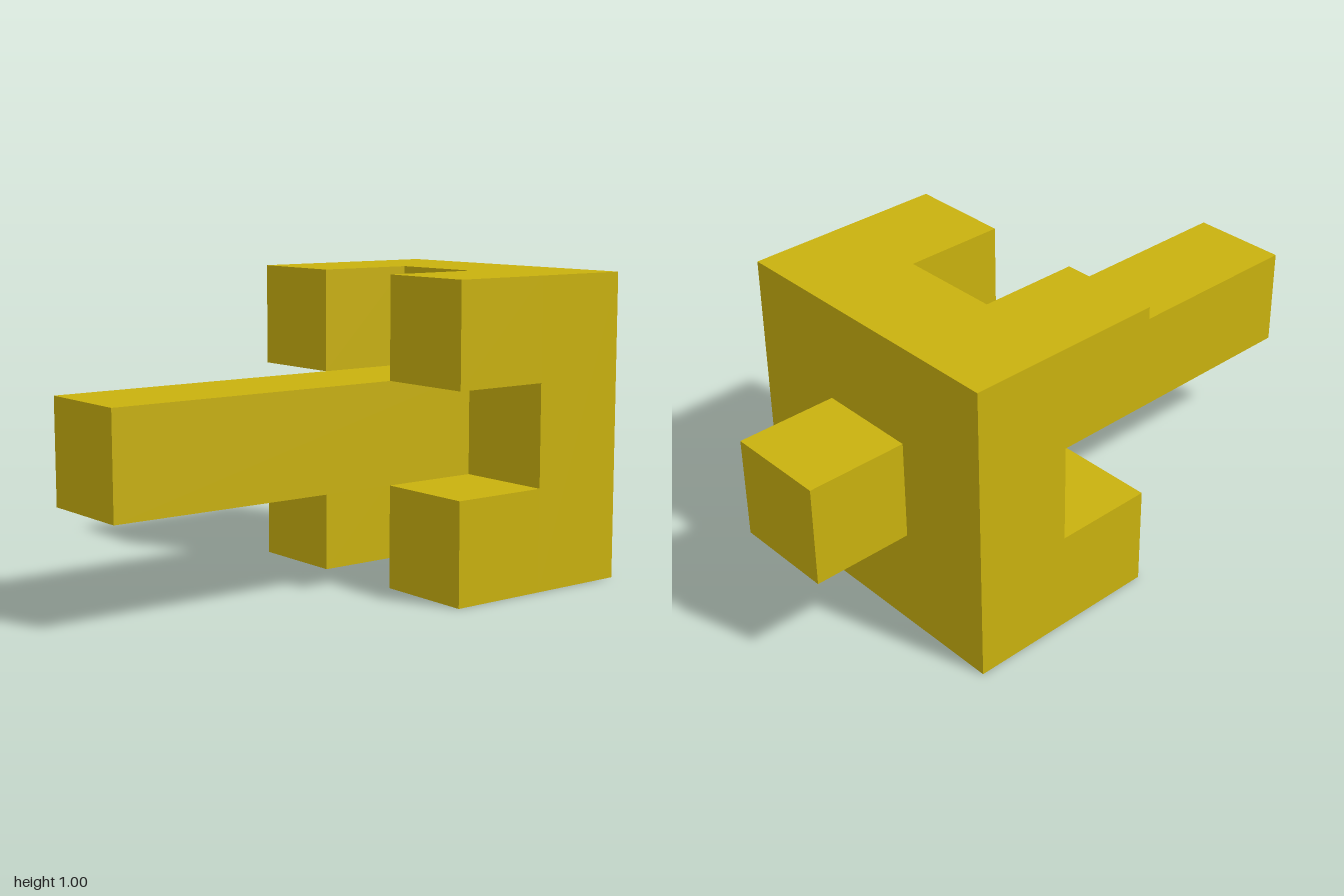
import * as THREE from 'three';

const U = 1 / 3; // every part is a multiple of this unit

export function createModel() {
  const group = new THREE.Group();
  const material = new THREE.MeshStandardMaterial({ color: 0xc9b10e, flatShading: true });

  // Box spanning x0..x1, centred on y and z
  function block(name, x0, x1, y, z, size) {
    const mesh = new THREE.Mesh(new THREE.BoxGeometry(x1 - x0, size, size), material);
    mesh.name = name;
    mesh.position.set((x0 + x1) / 2, y, z);
    group.add(mesh);
  }

  // Square head plate
  block('headPlate', U, 2 * U, 0.5, 0, 1);

  // Four corner prongs, leaving a cross-shaped gap around the shaft
  for (const sy of [-1, 1]) {
    for (const sz of [-1, 1]) {
      const name = (sy > 0 ? 'upper' : 'lower') + (sz > 0 ? 'Front' : 'Back') + 'Prong';
      block(name, 0, U, 0.5 + sy * U, sz * U, U);
    }
  }

  // Long shaft on one side, short peg on the other
  block('shaft', -1, U, 0.5, 0, U);
  block('peg', 2 * U, 1, 0.5, 0, U);

  return group;
}
